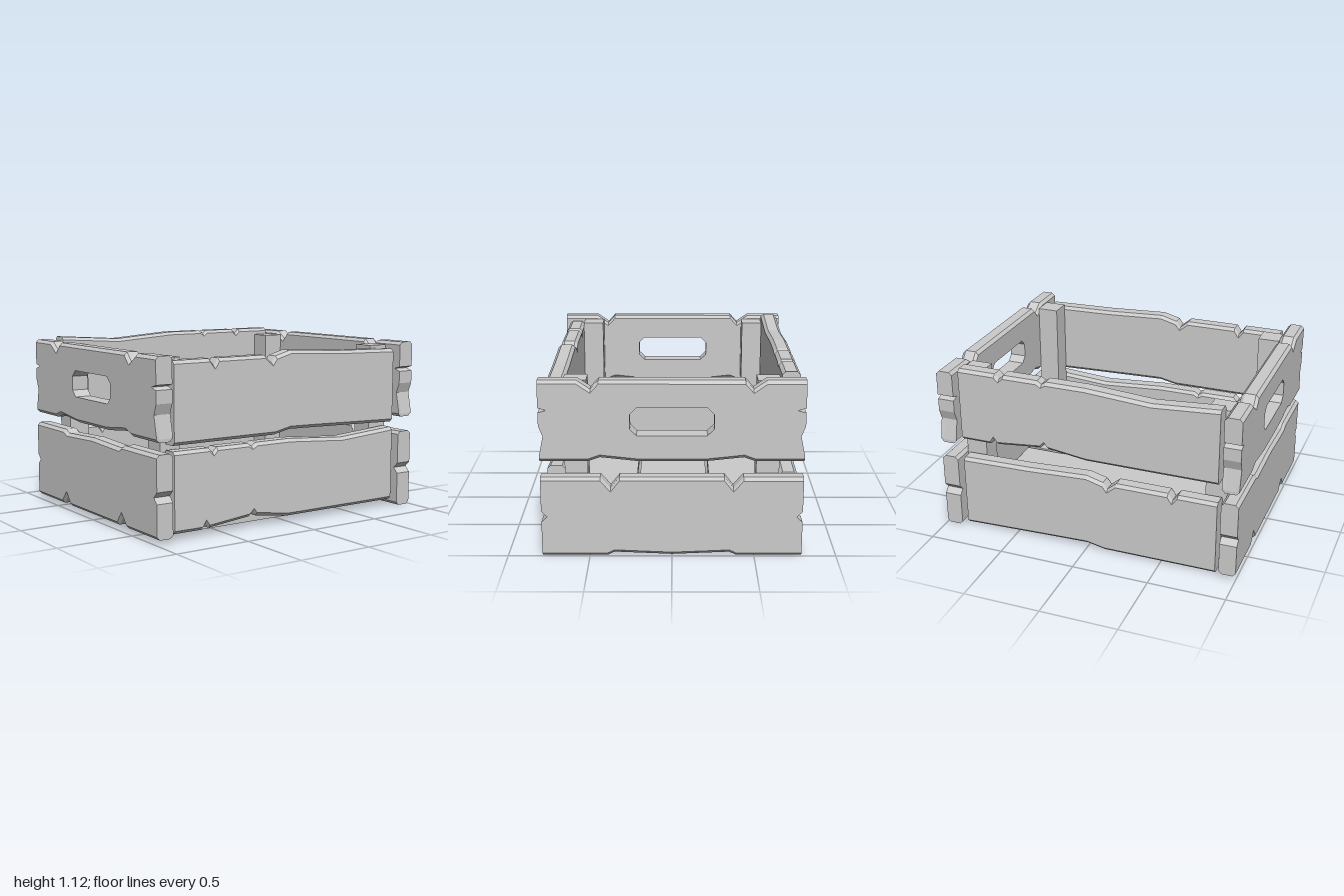
import * as THREE from 'three';

const mat = new THREE.MeshStandardMaterial({ color: 0xcccccc, flatShading: true });
const T = 0.11; // plank thickness
const B = 0.02; // chamfer along the long edges

// Worn plank: outline in x/y, extruded along z, long edges chamfered on both faces.
// top and bottom run left to right; end is the right-hand end, bottom to top, mirrored on the left.
function plank(top, bottom, end = [], hole = null) {
  const mirrored = end.map(([x, y]) => [-x, y]).reverse();
  const outline = [...bottom, ...end, ...[...top].reverse(), ...mirrored];
  const shape = new THREE.Shape(outline.map(p => new THREE.Vector2(...p)));
  if (hole) shape.holes.push(new THREE.Path(hole.map(p => new THREE.Vector2(...p))));
  const geo = new THREE.ExtrudeGeometry(shape, { depth: T, steps: 3, bevelEnabled: false });
  const mid = (top[0][1] + bottom[0][1]) / 2;
  const layers = [0, B, T - B, T];
  const pos = geo.attributes.position;
  for (let i = 0; i < pos.count; i++) {
    const layer = Math.round(pos.getZ(i) / T * 3);
    const dy = pos.getY(i) - mid;
    if ((layer === 0 || layer === 3) && Math.abs(dy) > 0.13) pos.setY(i, pos.getY(i) - Math.sign(dy) * B);
    pos.setZ(i, layers[layer]);
  }
  geo.computeVertexNormals();
  return geo;
}

// Mirror a half profile (listed from the left end towards the middle)
const symmetric = half => [...half, ...half.filter(p => p[0] !== 0).map(([x, y]) => [-x, y]).reverse()];

export function createModel() {
  const crate = new THREE.Group();
  crate.name = 'crate';
  const add = (name, geo, x = 0, y = 0, z = 0, ry = 0) => {
    const mesh = new THREE.Mesh(geo, mat);
    mesh.name = name;
    mesh.position.set(x, y, z);
    mesh.rotation.y = ry;
    crate.add(mesh);
    return mesh;
  };

  // Long planks: two wear patterns, each used once in front and once at the back
  const plankA = plank(
    [[-0.86, 0.535], [-0.61, 0.535], [-0.58, 0.505], [-0.55, 0.535], [-0.32, 0.535], [-0.29, 0.515],
      [-0.26, 0.535], [0, 0.535], [0.43, 0.505], [0.86, 0.535]],
    [[-0.86, 0.04], [-0.66, 0.04], [-0.635, 0.08], [-0.61, 0.045], [-0.31, 0.075], [-0.28, 0.105],
      [-0.26, 0.075], [0, 0.04], [0.86, 0.04]]);
  const plankB = plank(
    [[-0.86, 0.505], [-0.605, 0.505], [-0.57, 0.46], [-0.54, 0.505], [-0.2, 0.505], [-0.14, 0.455],
      [-0.11, 0.495], [0, 0.525], [0.4, 0.505], [0.86, 0.495]],
    [[-0.86, 0.005], [-0.12, 0.005], [0, 0.03], [0.2, 0.025], [0.86, 0.005]]);
  add('frontLowerPlank', plankA, 0, 0, 0.65);
  add('frontUpperPlank', plankB, 0, 0.565, 0.65);
  add('backLowerPlank', plankB, 0, 0, -0.765);
  add('backUpperPlank', plankA, 0, 0.59, -0.655, Math.PI);

  // Short side planks
  const lowerSide = plank(
    symmetric([[-0.79, 0.505], [-0.43, 0.505], [-0.37, 0.435], [-0.315, 0.505]]),
    symmetric([[-0.79, 0], [-0.39, 0], [-0.35, 0.02], [0, 0.005]]),
    [[0.79, 0.22], [0.755, 0.255], [0.79, 0.29]]);
  const upperSide = plank(
    symmetric([[-0.79, 1.105], [-0.56, 1.105], [-0.48, 1.05], [-0.43, 1.105]]),
    symmetric([[-0.79, 0.605], [-0.5, 0.605], [-0.43, 0.63], [-0.2, 0.605]]),
    [[0.79, 0.625], [0.765, 0.765], [0.79, 0.83], [0.79, 0.91], [0.74, 0.925], [0.79, 0.94]],
    // hand hole
    [[-0.25, 0.81], [-0.21, 0.77], [0.21, 0.77], [0.25, 0.81],
      [0.25, 0.9], [0.21, 0.94], [-0.21, 0.94], [-0.25, 0.9]]);
  const lowerSideFlipped = lowerSide.clone().rotateZ(Math.PI).translate(0, 0.535, 0);
  add('leftLowerPlank', lowerSide, 0.89, 0, 0, Math.PI / 2);
  add('rightLowerPlank', lowerSideFlipped, -1, 0, 0, Math.PI / 2);
  add('leftUpperPlank', upperSide, 0.89, 0, 0, Math.PI / 2);
  add('rightUpperPlank', upperSide, -1, 0, 0, Math.PI / 2);

  // Corner posts
  const post = new THREE.BoxGeometry(0.14, 1.06, 0.14);
  for (const x of [-1, 1]) {
    for (const z of [-1, 1]) {
      add(`${z > 0 ? 'front' : 'back'}${x > 0 ? 'Left' : 'Right'}Post`, post, x * 0.82, 0.55, z * 0.58);
    }
  }

  // Floor boards
  [[-0.68, -0.26], [-0.24, 0.23], [0.25, 0.67]].forEach(([z0, z1], i) =>
    add(`floorBoard${i + 1}`, new THREE.BoxGeometry(1.77, 0.06, z1 - z0), 0, 0.05, (z0 + z1) / 2));

  return crate;
}
